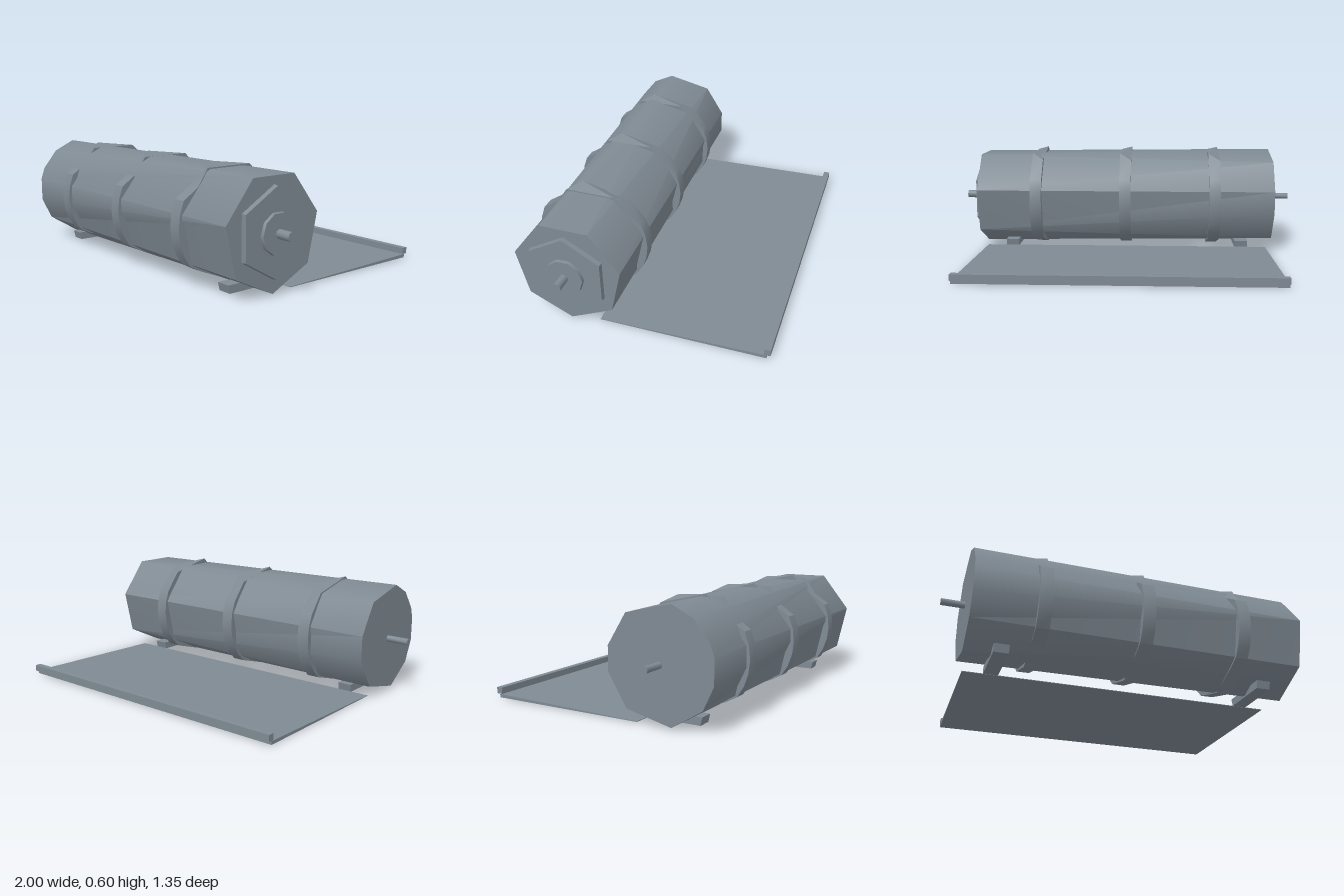
import * as THREE from 'three';
import { toCreasedNormals } from 'three/addons/utils/BufferGeometryUtils.js';

const CY = 0.3, CZ = 0.37;           // roll axis
const STEP = (Math.PI * 2) / 28;     // ring positions are 28ths of a turn, from the top towards the front

// Closed drum between two uneven polygon rings; each ring is a list of [position, radius]
function drum(x0, ring0, x1, ring1, crease) {
  const pos = [];
  const point = (x, ring, i) => {
    const [k, r] = ring[i % ring.length];
    return [x, CY + r * Math.cos(k * STEP), CZ + r * Math.sin(k * STEP)];
  };
  const turn = (ring, i) => ring[i % ring.length][0] + 28 * Math.floor(i / ring.length);
  const tri = (...p) => p.forEach((v) => pos.push(...v));
  let i = 0, j = 0;
  while (i < ring0.length || j < ring1.length) {
    const a = point(x0, ring0, i), b = point(x1, ring1, j);
    const stepFirst = j >= ring1.length ||
      (i < ring0.length && turn(ring0, i + 1) <= turn(ring1, j + 1));
    if (stepFirst) tri(a, point(x0, ring0, ++i), b);
    else tri(a, point(x1, ring1, ++j), b);
  }
  for (let n = 0; n < ring0.length; n++) tri([x0, CY, CZ], point(x0, ring0, n + 1), point(x0, ring0, n));
  for (let n = 0; n < ring1.length; n++) tri([x1, CY, CZ], point(x1, ring1, n), point(x1, ring1, n + 1));
  const g = new THREE.BufferGeometry();
  g.setAttribute('position', new THREE.Float32BufferAttribute(pos, 3));
  return toCreasedNormals(g, crease);
}

// Side profile in (z, y) extruded along x, centred on x
function prism(profile, width, x = 0) {
  const shape = new THREE.Shape(profile.map(([z, y]) => new THREE.Vector2(-z, y)));
  const g = new THREE.ExtrudeGeometry(shape, { depth: width, bevelEnabled: false });
  return g.translate(0, 0, -width / 2).rotateY(Math.PI / 2).translate(x, 0, 0);
}

export function createModel() {
  const group = new THREE.Group();
  const gray = new THREE.MeshStandardMaterial({ color: 0x7f8a93 });
  gray.name = 'slate gray';
  const add = (name, geometry) => {
    const mesh = new THREE.Mesh(geometry, gray);
    mesh.name = name;
    group.add(mesh);
    return mesh;
  };

  // Rolled body: rounder on one end, seven-sided on the other
  const at = (list, r) => list.map((k) => [k, r]);
  add('rolledBody', drum(
    -0.88, at([-3, 1, 3, 5, 6, 8, 10, 13, 17, 20, 22], 0.293),
    0.88, at([-2, 2, 6, 10, 14, 18, 22], 0.293), 0.7));

  // Straps, dipping into the roll at the shoulders
  const wrap = [[3.5, 0.268], ...at([5, 6, 7, 8, 9, 10], 0.305), [11, 0.285], [14, 0.295],
    ...at([17, 18, 19, 20, 21, 22, 23], 0.305)];
  for (const x of [-0.53, 0, 0.53]) {
    add('strap', drum(
      x - 0.034, [[-3, 0.305], [1, 0.305], ...wrap],
      x + 0.034, [[-2, 0.305], [2, 0.305], ...wrap], 0.5));
  }

  // End plate, hub and axle stubs
  const rod = (name, x0, x1, r0, r1, sides) => {
    const g = new THREE.CylinderGeometry(r1, r0, x1 - x0, sides);
    g.rotateZ(-Math.PI / 2).rotateX(sides === 6 ? Math.PI / 2 : 0);
    g.translate((x0 + x1) / 2, CY, CZ);
    add(name, toCreasedNormals(g, 0.8));
  };
  // six-sided plate with a corner at the top
  add('endPlate', drum(0.87, at([0, 1, 2, 3, 4, 5].map((n) => n * 28 / 6), 0.225),
    0.905, at([0, 1, 2, 3, 4, 5].map((n) => n * 28 / 6), 0.22), 0.5));
  rod('hub', 0.9, 0.92, 0.105, 0.1, 10);
  rod('rightAxle', 0.91, 1, 0.023, 0.023, 10);
  rod('leftAxle', -1, -0.87, 0.018, 0.018, 8);

  // Feet under the roll
  for (const x of [-0.705, 0.7]) {
    add('foot', prism([[0.51, 0], [0.235, 0], [0.225, 0.042], [0.52, 0.042]], 0.076, x));
  }

  // Unrolled sheet with its end bar
  add('sheet', prism([[0.225, 0.003], [-0.655, 0.004], [-0.655, 0.022], [0.225, 0.006]], 1.7));
  const bar = add('endBar', new THREE.BoxGeometry(1.7, 0.034, 0.034));
  bar.position.set(0, 0.041, -0.658);

  return group;
}
